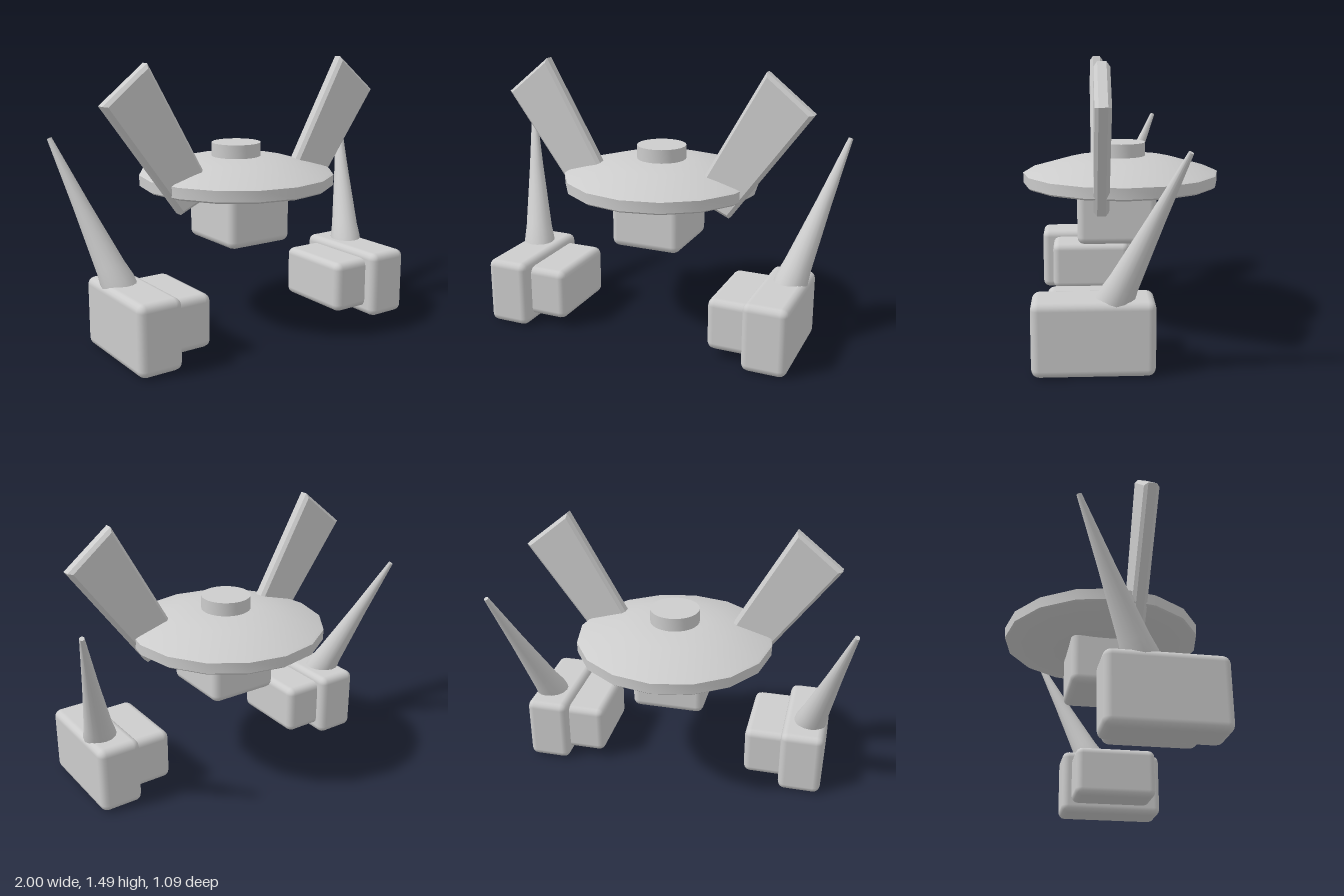
import * as THREE from 'three';
import { toCreasedNormals } from 'three/addons/utils/BufferGeometryUtils.js';
import { RoundedBoxGeometry } from 'three/addons/geometries/RoundedBoxGeometry.js';

const grey = new THREE.MeshStandardMaterial({ color: 0xcccccc });
grey.name = 'light grey';

function add(parent, name, geometry) {
  const mesh = new THREE.Mesh(geometry, grey);
  mesh.name = name;
  parent.add(mesh);
  return mesh;
}

// Softened box given by its lower and upper corners
function softBox(parent, name, [x0, y0, z0], [x1, y1, z1]) {
  const box = add(parent, name, new RoundedBoxGeometry(x1 - x0, y1 - y0, z1 - z0, 2, 0.04));
  box.position.set((x0 + x1) / 2, (y0 + y1) / 2, (z0 + z1) / 2);
  return box;
}

// Solid of revolution from [radius, height] pairs, bottom to top
function turned(profile, sides) {
  const points = profile.map(([r, y]) => new THREE.Vector2(r, y));
  return toCreasedNormals(new THREE.LatheGeometry(points, sides), 0.7);
}

// Bevelled slanted plate, s = 1 for the left side, -1 for the right
function wingGeometry(s) {
  const corners = [[0.45, 0.7], [0.88, 1.29], [0.63, 1.49], [0.24, 0.795]];
  const shape = new THREE.Shape(corners.map(([x, y]) => new THREE.Vector2(s * x, y)));
  const geometry = new THREE.ExtrudeGeometry(shape, {
    depth: 0.044, bevelThickness: 0.018, bevelSize: 0.018, bevelOffset: -0.018, bevelSegments: 1,
  });
  return geometry.translate(0, 0, 0.098);
}

export function createModel() {
  const model = new THREE.Group();
  model.name = 'discCraft';

  // Central disc with its cap and the box below
  add(model, 'disc', turned([
    [0, 0.74], [0.2, 0.745], [0.53, 0.793], [0.543, 0.803],
    [0.545, 0.862], [0.53, 0.87], [0.3, 0.937], [0.18, 0.953], [0, 0.96],
  ], 16));
  add(model, 'cap', turned([[0, 0.92], [0.137, 0.92], [0.137, 1.03], [0, 1.03]], 32));
  softBox(model, 'bellyBox', [-0.2, 0.485, -0.19], [0.2, 0.79, 0.245]);

  for (const s of [1, -1]) {
    const side = new THREE.Group();
    side.name = s > 0 ? 'leftSide' : 'rightSide';
    model.add(side);

    add(side, 'wing', wingGeometry(s));

    // Outer foot and the smaller block beside it
    const span = (a, b) => (s > 0 ? [a, b] : [-b, -a]);
    const [f0, f1] = span(0.635, 0.877);
    softBox(side, 'foot', [f0, 0, -0.13], [f1, 0.375, 0.47]);
    const [b0, b1] = span(0.425, 0.7);
    softBox(side, 'innerBlock', [b0, 0.05, -0.075], [b1, 0.337, 0.4]);

    // Horn leaning outwards and back
    const base = new THREE.Vector3(s * 0.78, 0.36, 0.065);
    const axis = new THREE.Vector3(s * 0.988, 1.1, -0.265).sub(base);
    const length = axis.length();
    const horn = add(side, 'horn', turned([
      [0, -0.03], [0.09, -0.03], [0.09, 0.02], [0.077, 0.1],
      [0.042, 0.47], [0.013, length], [0, length],
    ], 16));
    horn.position.copy(base);
    horn.quaternion.setFromUnitVectors(new THREE.Vector3(0, 1, 0), axis.normalize());
  }
  return model;
}
